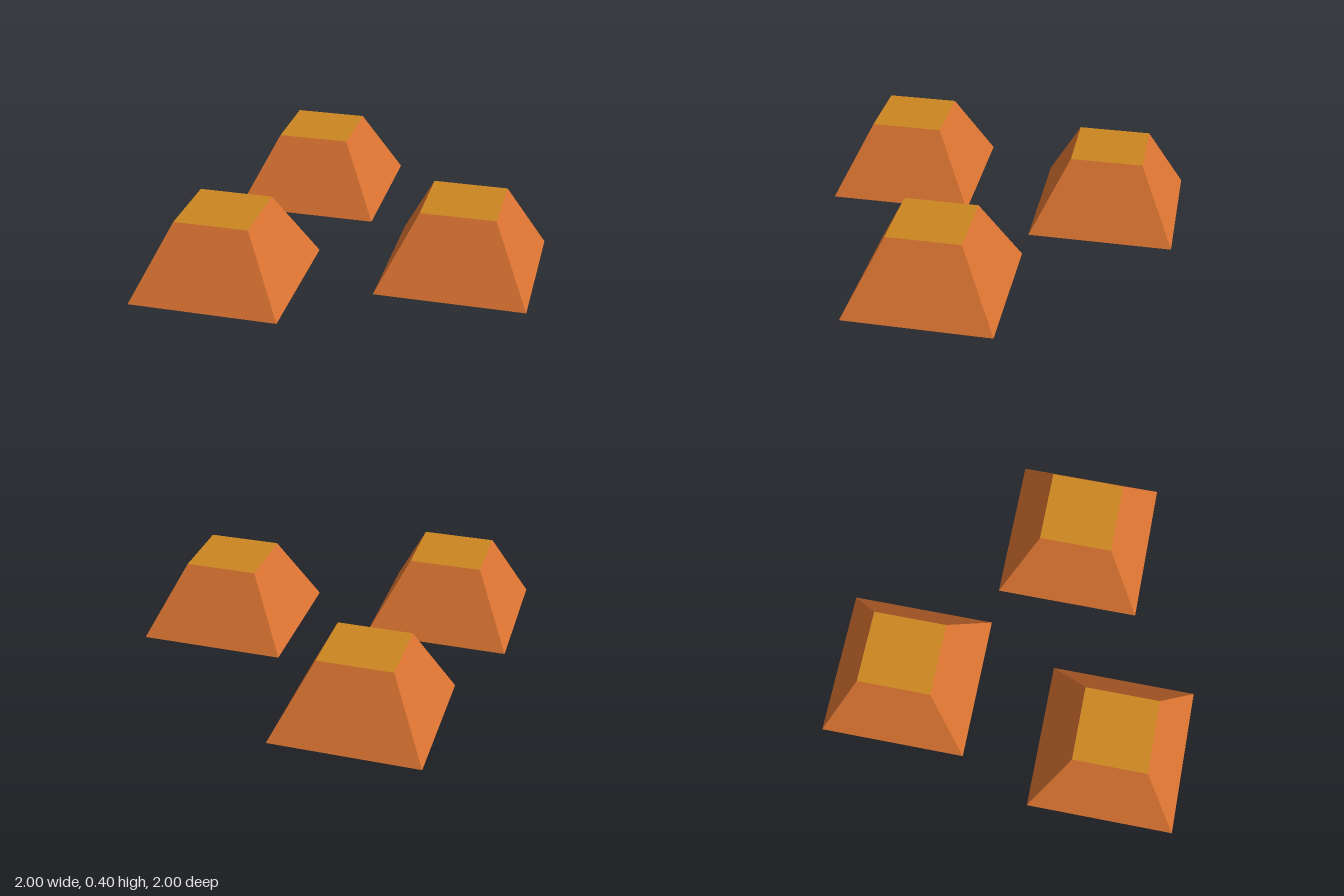
import * as THREE from 'three';

const BASE = 0.8, TOP = 0.4, HEIGHT = 0.4;

// Box tapered towards the top; its six faces keep their own material groups
function taperedBlock() {
  const geometry = new THREE.BoxGeometry(BASE, HEIGHT, BASE);
  geometry.translate(0, HEIGHT / 2, 0);
  const p = geometry.attributes.position;
  for (let i = 0; i < p.count; i++) {
    const s = THREE.MathUtils.lerp(1, TOP / BASE, p.getY(i) / HEIGHT);
    p.setX(i, p.getX(i) * s);
    p.setZ(i, p.getZ(i) * s);
  }
  geometry.computeVertexNormals();
  return geometry;
}

export function createModel() {
  const orange = new THREE.MeshStandardMaterial({ color: 0xdc7432 });
  orange.name = 'orange';
  const ochre = new THREE.MeshStandardMaterial({ color: 0xcb8621 });
  ochre.name = 'ochre';

  const model = new THREE.Group();
  model.name = 'blocks';
  const geometry = taperedBlock();
  // Face order: +x, -x, top, bottom, +z, -z
  const faces = [orange, orange, ochre, orange, orange, orange];

  // Three identical blocks standing apart
  const places = { backBlock: [-0.4, -0.6], leftBlock: [0.6, 0.2], frontBlock: [-0.6, 0.6] };
  for (const [name, [x, z]] of Object.entries(places)) {
    const block = new THREE.Mesh(geometry, faces);
    block.name = name;
    block.position.set(x, 0, z);
    model.add(block);
  }
  return model;
}
